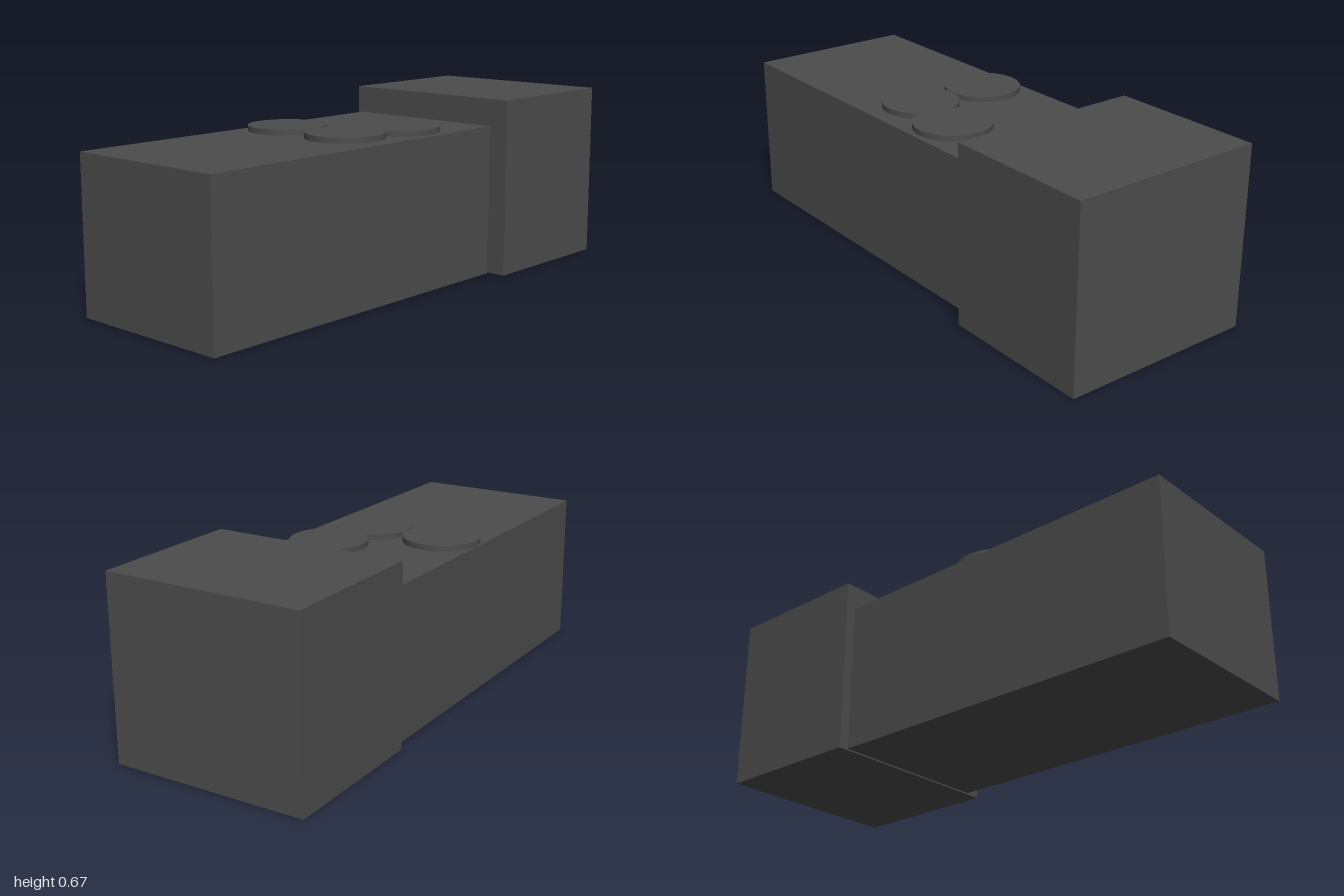
import * as THREE from 'three';

export function createModel() {
  const model = new THREE.Group();
  const charcoal = new THREE.MeshStandardMaterial({ color: 0x4c4c4c });
  charcoal.name = 'charcoal';

  const add = (name, geometry, x, y, z) => {
    const mesh = new THREE.Mesh(geometry, charcoal);
    mesh.name = name;
    mesh.position.set(x, y, z);
    model.add(mesh);
  };

  // Box spanning the given x and z ranges, standing on the ground
  const block = (name, x0, x1, height, z0, z1) =>
    add(name, new THREE.BoxGeometry(x1 - x0, height, z1 - z0), (x0 + x1) / 2, height / 2, (z0 + z1) / 2);

  // Long body and the taller end cap, with a narrow gap between them
  block('body', -1, 0.399, 0.572, -0.343, 0.304);
  block('endCap', 0.41, 1, 0.674, -0.373, 0.373);

  // Three flat discs on top of the body
  const top = 0.593, thickness = 0.021;
  const disc = new THREE.CylinderGeometry(0.145, 0.145, thickness, 64);
  [[-0.183, -0.194], [-0.183, 0.097], [0.071, 0.139]].forEach(([x, z], i) =>
    add(`topDisc${i + 1}`, disc, x, top - thickness / 2, z));

  return model;
}
